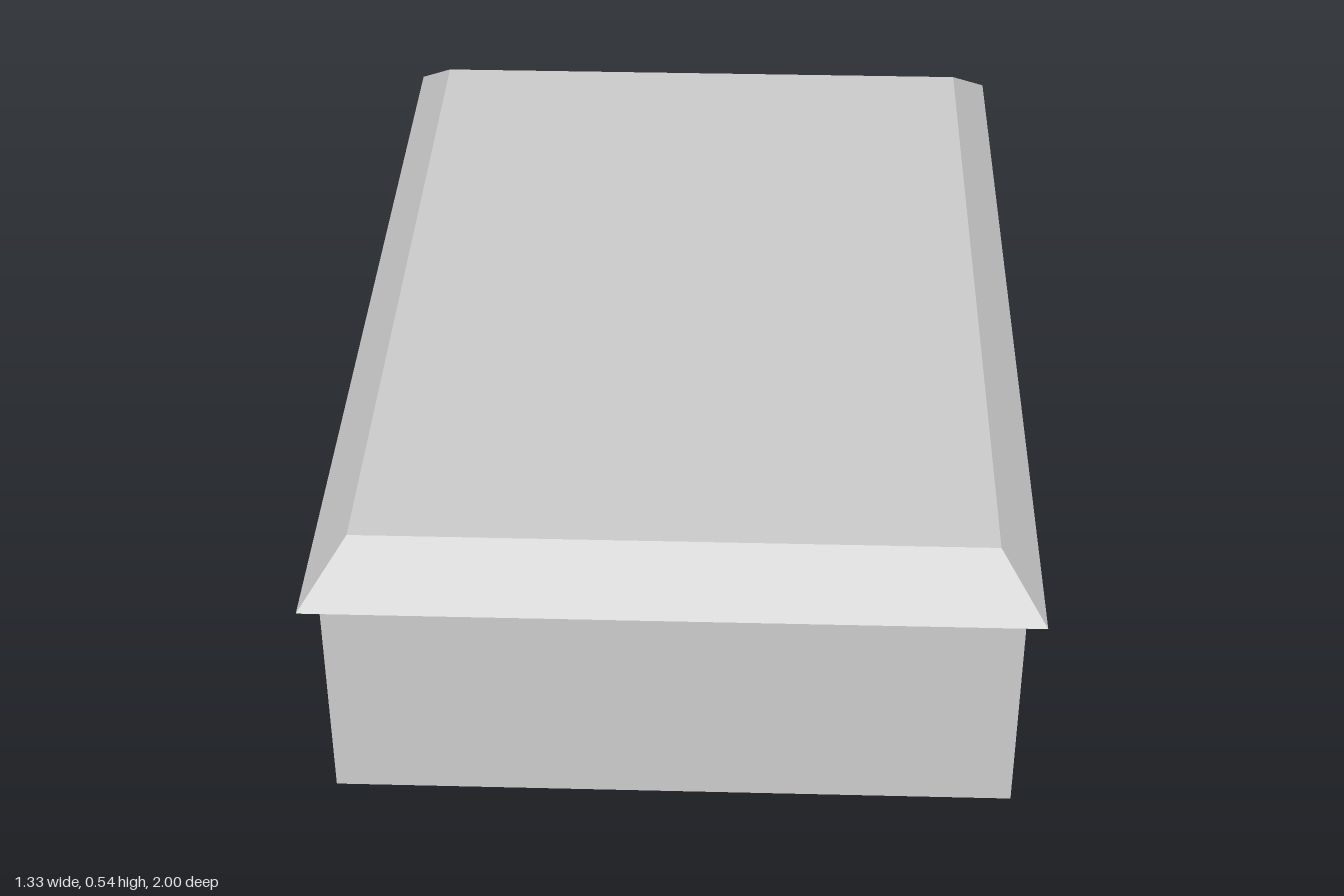
import * as THREE from 'three';

export function createModel() {
  const group = new THREE.Group();
  group.name = 'building';
  const gray = new THREE.MeshStandardMaterial({ color: 0xcccccc });
  gray.name = 'plain gray';

  const W = 0.633, D = 0.95, H = 0.455; // half width, half depth, wall height
  const T = 0.03, F = 0.006; // wall and floor thickness

  const add = (name, geometry, x = 0, y = 0, z = 0) => {
    const mesh = new THREE.Mesh(geometry, gray);
    mesh.name = name;
    mesh.position.set(x, y, z);
    group.add(mesh);
    return mesh;
  };
  const box = (name, w, h, d, x, y, z) => add(name, new THREE.BoxGeometry(w, h, d), x, y, z);
  const rect = (Type, z0, z1, y0, y1) => {
    const r = new Type();
    r.moveTo(z0, y0).lineTo(z1, y0).lineTo(z1, y1).lineTo(z0, y1).closePath();
    return r;
  };

  // Floor slab and the three closed walls
  const wallH = H - F, wallY = F + wallH / 2;
  box('floor', 2 * W, F, 2 * D, 0, F / 2, 0);
  box('frontWall', 2 * W, wallH, T, 0, wallY, D - T / 2);
  box('backWall', 2 * W, wallH, T, 0, wallY, -D + T / 2);
  box('rightWall', T, wallH, 2 * (D - T), -W + T / 2, wallY, 0);

  // Left wall with an open doorway and a window opening
  const win = { z0: -0.305, z1: 0.195, y0: 0.18, y1: 0.36 };
  const wall = new THREE.Shape();
  [[-D + T, F], [-0.8, F], [-0.8, 0.418], [-0.567, 0.418], [-0.567, F],
    [D - T, F], [D - T, H], [-D + T, H]]
    .forEach(([z, y], i) => (i ? wall.lineTo(z, y) : wall.moveTo(z, y)));
  wall.holes.push(rect(THREE.Path, win.z0, win.z1, win.y0, win.y1));
  const wallGeometry = new THREE.ExtrudeGeometry(wall, { depth: T, bevelEnabled: false });
  wallGeometry.rotateY(-Math.PI / 2);
  add('leftWall', wallGeometry, W);

  // Recessed window pane with thin glazing bars
  const winW = win.z1 - win.z0, winH = win.y1 - win.y0;
  const winZ = (win.z0 + win.z1) / 2, winY = (win.y0 + win.y1) / 2;
  const paneX = W - 0.016;
  box('windowPane', 0.006, winH, winW, paneX - 0.003, winY, winZ);
  box('windowUpright', 0.002, winH, 0.003, paneX + 0.001, winY, -0.165);
  box('windowCrossbar', 0.002, 0.003, winW, paneX + 0.001, winY, winZ);

  // Flat-topped roof with sloping eaves: a box with its top drawn in
  const roofH = 0.085;
  const roof = new THREE.BoxGeometry(1.33, roofH, 2);
  const p = roof.attributes.position;
  for (let i = 0; i < p.count; i++) {
    if (p.getY(i) > 0) {
      p.setX(i, Math.sign(p.getX(i)) * 0.585);
      p.setZ(i, Math.sign(p.getZ(i)) * 0.88);
    }
  }
  roof.computeVertexNormals();
  add('roof', roof, 0, H + roofH / 2, 0);

  return group;
}
